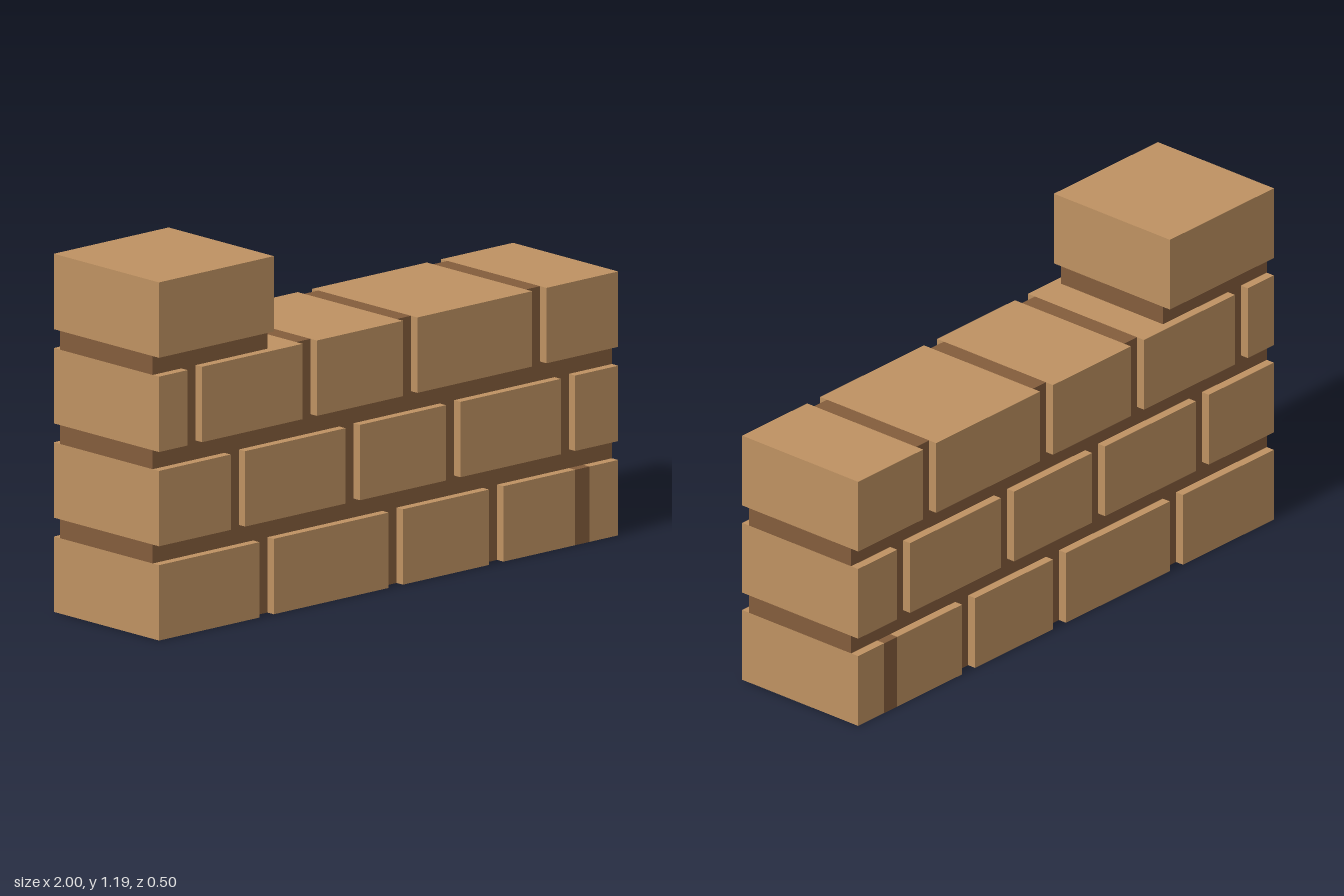
import * as THREE from 'three';

const U = 1 / 16; // layout unit: one joint width
const BRICK_H = 4 * U, STEP = 5 * U;
const BRICK_Z = 0.25, MORTAR_Z = 0.22; // half depths

// Each course: x extent and left edge of every joint, in units
const COURSES = [
  { from: -16, to: 16, joints: [-9, 0, 7, 13], flush: 13 },
  { from: -16, to: 16, joints: [-11, -3, 4, 12] },
  { from: -16, to: 16, joints: [-14, -6, 1, 10] },
  { from: -16, to: -8, joints: [] },
];

export function createModel() {
  const wall = new THREE.Group();
  wall.name = 'brickWall';
  const brick = new THREE.MeshStandardMaterial({ color: 0xbf9262 });
  brick.name = 'tanBrick';
  const mortar = new THREE.MeshStandardMaterial({ color: 0x845d3c });
  mortar.name = 'brownMortar';

  function block(parent, name, material, x0, x1, y, h, halfZ) {
    const mesh = new THREE.Mesh(new THREE.BoxGeometry((x1 - x0) * U, h, halfZ * 2), material);
    mesh.position.set(((x0 + x1) / 2) * U, y + h / 2, 0);
    mesh.name = name;
    parent.add(mesh);
  }

  COURSES.forEach(({ from, to, joints, flush }, row) => {
    const course = new THREE.Group();
    course.name = `course${row + 1}`;
    const y = row * STEP;

    // Recessed mortar bed below the course
    if (row > 0) block(course, 'mortarBed', mortar, from, to, y - U, U, MORTAR_Z);

    // Bricks with upright joints between them
    let start = from;
    for (const j of joints) {
      block(course, 'brick', brick, start, j, y, BRICK_H, BRICK_Z);
      block(course, 'mortarJoint', mortar, j, j + 1, y, BRICK_H, j === flush ? BRICK_Z : MORTAR_Z);
      start = j + 1;
    }
    block(course, 'brick', brick, start, to, y, BRICK_H, BRICK_Z);
    wall.add(course);
  });

  return wall;
}
